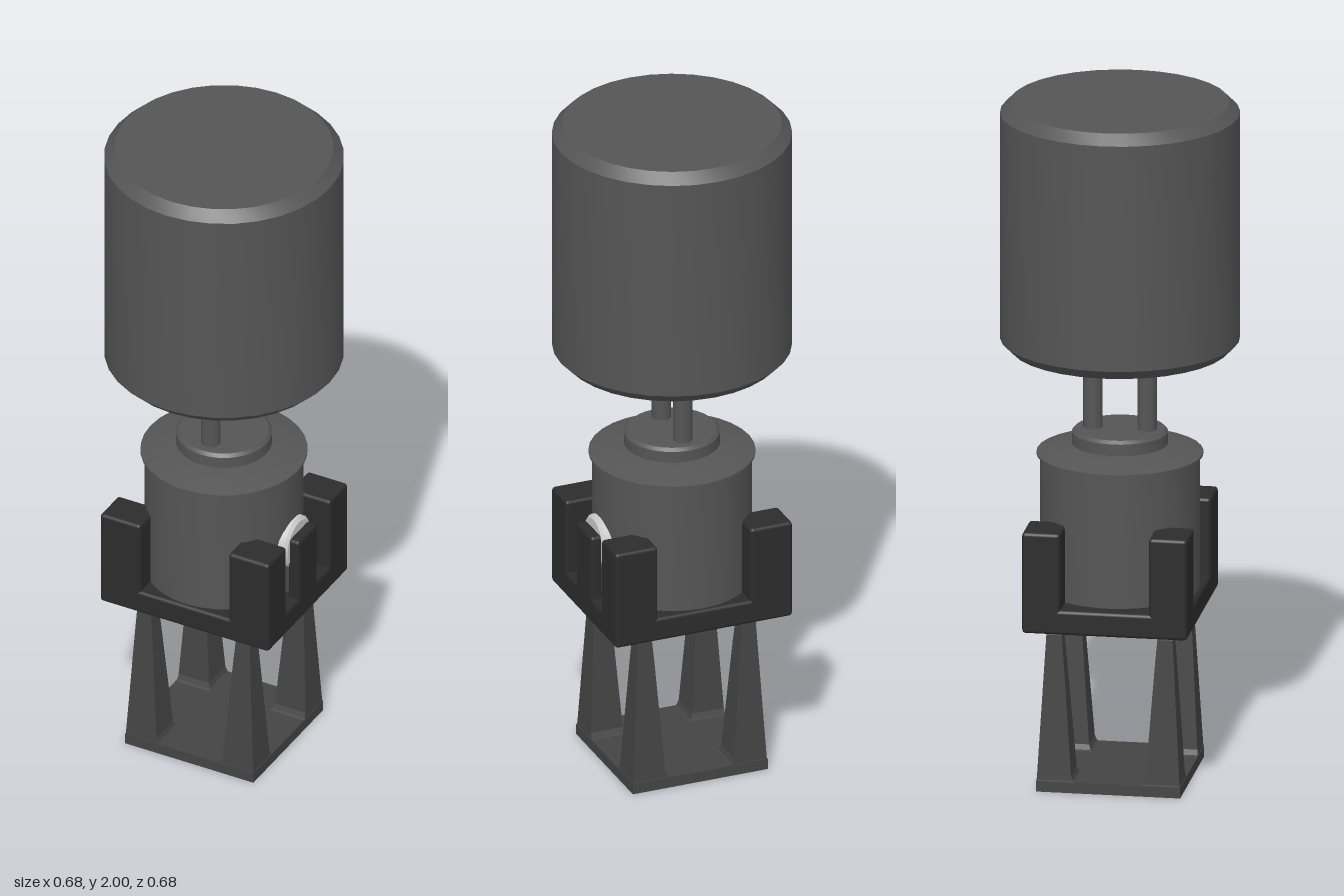
import * as THREE from 'three';
import { toCreasedNormals } from 'three/addons/utils/BufferGeometryUtils.js';
import { RoundedBoxGeometry } from 'three/addons/geometries/RoundedBoxGeometry.js';

const material = (color) => new THREE.MeshStandardMaterial({ color });

// Solid of revolution from [radius, y] pairs listed bottom to top
function turned(points, sides) {
  const profile = points.map(([r, y]) => new THREE.Vector2(r, y));
  return toCreasedNormals(new THREE.LatheGeometry(profile, sides), 0.5);
}

// Rounded box given by its lower and upper corners
function block(x0, x1, y0, y1, z0, z1, radius = 0.01) {
  const g = new RoundedBoxGeometry(x1 - x0, y1 - y0, z1 - z0, 2, radius);
  return g.translate((x0 + x1) / 2, (y0 + y1) / 2, (z0 + z1) / 2);
}

// Tapered corner leg: square sections [y, inner, outer], same in x and z
function legGeometry(sx, sz) {
  const sections = [
    [0.03, 0.09, 0.207], [0.035, 0.101, 0.206], [0.05, 0.107, 0.205],
    [0.39, 0.132, 0.186], [0.46, 0.138, 0.182], [0.49, 0.144, 0.174],
  ];
  const n = sections.length - 1;
  const g = new THREE.BoxGeometry(1, 1, 1, 1, n, 1).toNonIndexed();
  const p = g.attributes.position;
  for (let i = 0; i < p.count; i++) {
    const [y, inner, outer] = sections[Math.round((p.getY(i) + 0.5) * n)];
    p.setXYZ(
      i,
      sx * (p.getX(i) * sx > 0 ? outer : inner),
      y,
      sz * (p.getZ(i) * sz > 0 ? outer : inner),
    );
  }
  g.computeVertexNormals();
  return g;
}

export function createModel() {
  const model = new THREE.Group();
  const grey = material(0x555555);
  const dark = material(0x2c2c2c);
  const standGrey = material(0x444444);
  const silver = material(0xcccccc);

  const add = (name, geometry, mat, parent = model) => {
    const mesh = new THREE.Mesh(geometry, mat);
    mesh.name = name;
    parent.add(mesh);
    return mesh;
  };

  // Large chamfered drum on top
  add('drum', turned([
    [0, 1.27], [0.312, 1.27], [0.342, 1.3], [0.342, 1.97], [0.312, 2], [0, 2],
  ], 32), grey);

  // Two rods carrying the drum
  for (const z of [-0.078, 0.078]) {
    const rod = add('rod', new THREE.CylinderGeometry(0.028, 0.028, 0.28, 16), grey);
    rod.position.set(0, 1.15, z);
  }

  // Canister body, sloped lid with a thin overhang, and collar
  add('canister', turned([
    [0, 0.54], [0.21, 0.54], [0.227, 0.557], [0.227, 0.96], [0, 0.96],
  ], 32), grey);
  add('lid', turned([
    [0, 0.955], [0.238, 0.955], [0.238, 0.961], [0.14, 0.987], [0, 0.987],
  ], 32), grey);
  add('collar', turned([
    [0, 0.98], [0.137, 0.98], [0.137, 1.021], [0.128, 1.03], [0, 1.03],
  ], 32), grey);

  // Cradle: floor, four corner posts and one tab on the left side
  const cradle = new THREE.Group();
  cradle.name = 'cradle';
  model.add(cradle);
  add('cradleFloor', block(-0.273, 0.273, 0.488, 0.56, -0.238, 0.238), dark, cradle);
  for (const sx of [-1, 1]) {
    for (const sz of [-1, 1]) {
      const post = add('cradlePost', block(-0.065, 0.065, 0.488, 0.787, -0.055, 0.055), dark, cradle);
      post.position.set(sx * 0.208, 0, sz * 0.183);
    }
  }
  add('cradleTab', block(0.237, 0.273, 0.488, 0.757, -0.056, 0.056), dark, cradle);

  // Pale button held behind the tab
  const button = add('button', turned([
    [0, 0], [0.077, 0], [0.077, 0.034], [0.068, 0.043], [0, 0.043],
  ], 24), silver);
  button.rotation.z = -Math.PI / 2;
  button.position.set(0.2, 0.717, 0);

  // Stand: thin base plate and four tapered legs
  const plate = add('basePlate', new THREE.BoxGeometry(0.416, 0.032, 0.416), standGrey);
  plate.position.y = 0.016;
  for (const sx of [-1, 1]) {
    for (const sz of [-1, 1]) add('leg', legGeometry(sx, sz), standGrey);
  }

  return model;
}
